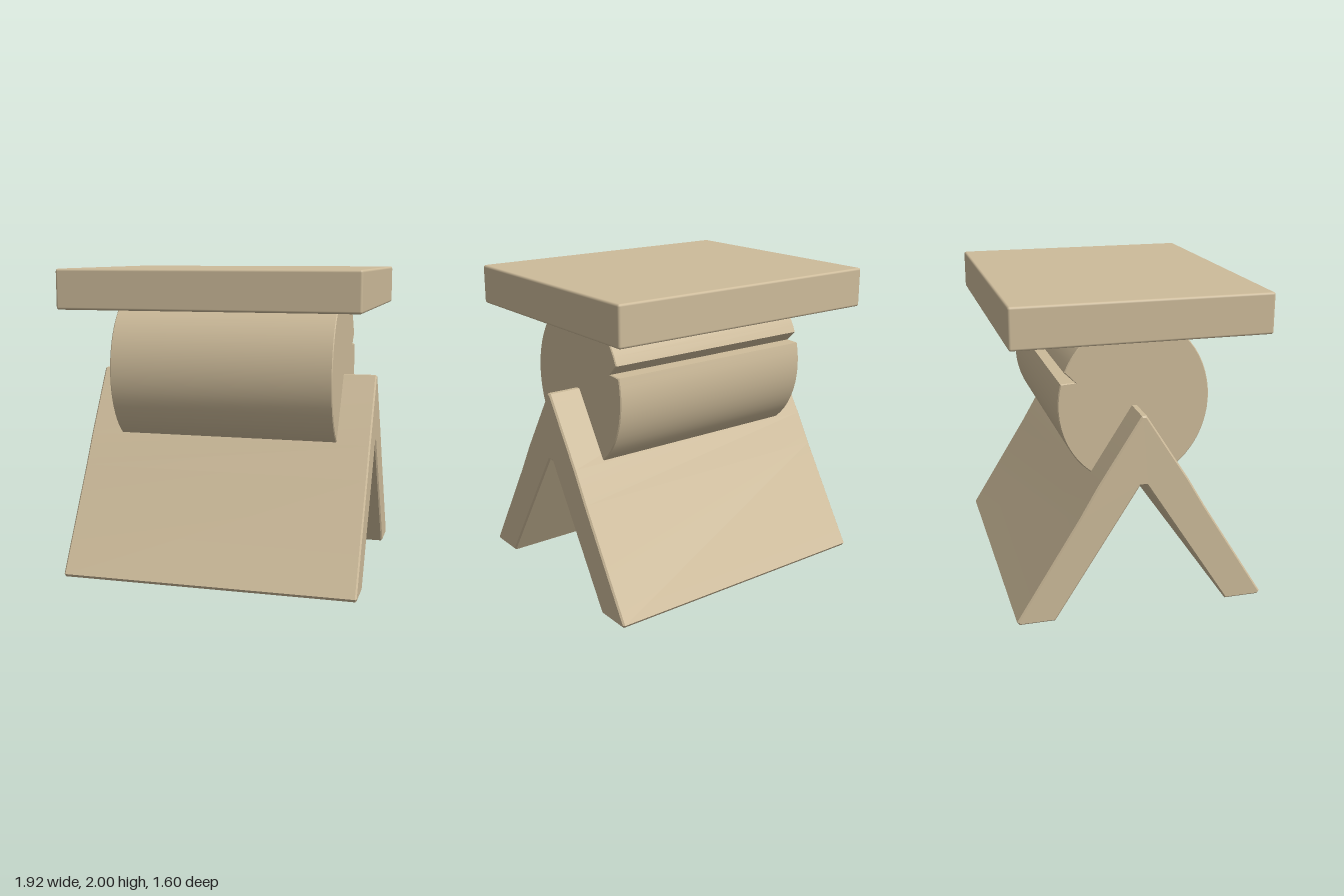
import * as THREE from 'three';
import { toCreasedNormals } from 'three/addons/utils/BufferGeometryUtils.js';
import { RoundedBoxGeometry } from 'three/addons/geometries/RoundedBoxGeometry.js';

const wood = new THREE.MeshStandardMaterial({ color: 0xcdbb9a });

// Extrudes a side profile, given as [-z, y] points, along x with small worn edges
function extrudeAlongX(points, width, bevel) {
  const shape = new THREE.Shape(points.map(([u, y]) => new THREE.Vector2(u, y)));
  const geometry = new THREE.ExtrudeGeometry(shape, {
    depth: width - 2 * bevel,
    bevelThickness: bevel,
    bevelSize: bevel,
    bevelOffset: -bevel,
    bevelSegments: 1,
  });
  geometry.translate(0, 0, bevel - width / 2);
  geometry.rotateY(Math.PI / 2);
  return toCreasedNormals(geometry, 0.45);
}

function addPart(group, name, geometry) {
  const mesh = new THREE.Mesh(geometry, wood);
  mesh.name = name;
  group.add(mesh);
  return mesh;
}

export function createModel() {
  const group = new THREE.Group();
  group.name = 'woodenStool';

  // Flat plank on top
  const plank = addPart(group, 'topPlank', new RoundedBoxGeometry(1.92, 0.25, 1.6, 2, 0.015));
  plank.position.y = 1.87;
  plank.scale.y = 1.02;

  // Round log under the plank, with a split running along its back
  const logPoints = [[0.37, 1.465]];
  const start = 0.42, end = 2 * Math.PI + 0.28, steps = 56;
  for (let i = 0; i <= steps; i++) {
    const a = start + ((end - start) * i) / steps;
    logPoints.push([0.48 * Math.cos(a), 1.315 + 0.53 * Math.sin(a)]);
  }
  addPart(group, 'log', extrudeAlongX(logPoints, 1.48, 0.006));

  // Two leaning boards joined into an A-shaped base
  const half = [[0.56, 0], [0.785, 0], [0.8, 0.02], [0.4, 0.67], [0.285, 0.87], [0.015, 1.295]];
  const mirrored = half.map(([u, y]) => [-u, y]).reverse();
  const basePoints = [[0.02, 0.85], ...half, ...mirrored, [-0.02, 0.85]];
  addPart(group, 'legBoards', extrudeAlongX(basePoints, 1.92, 0.01));

  return group;
}
